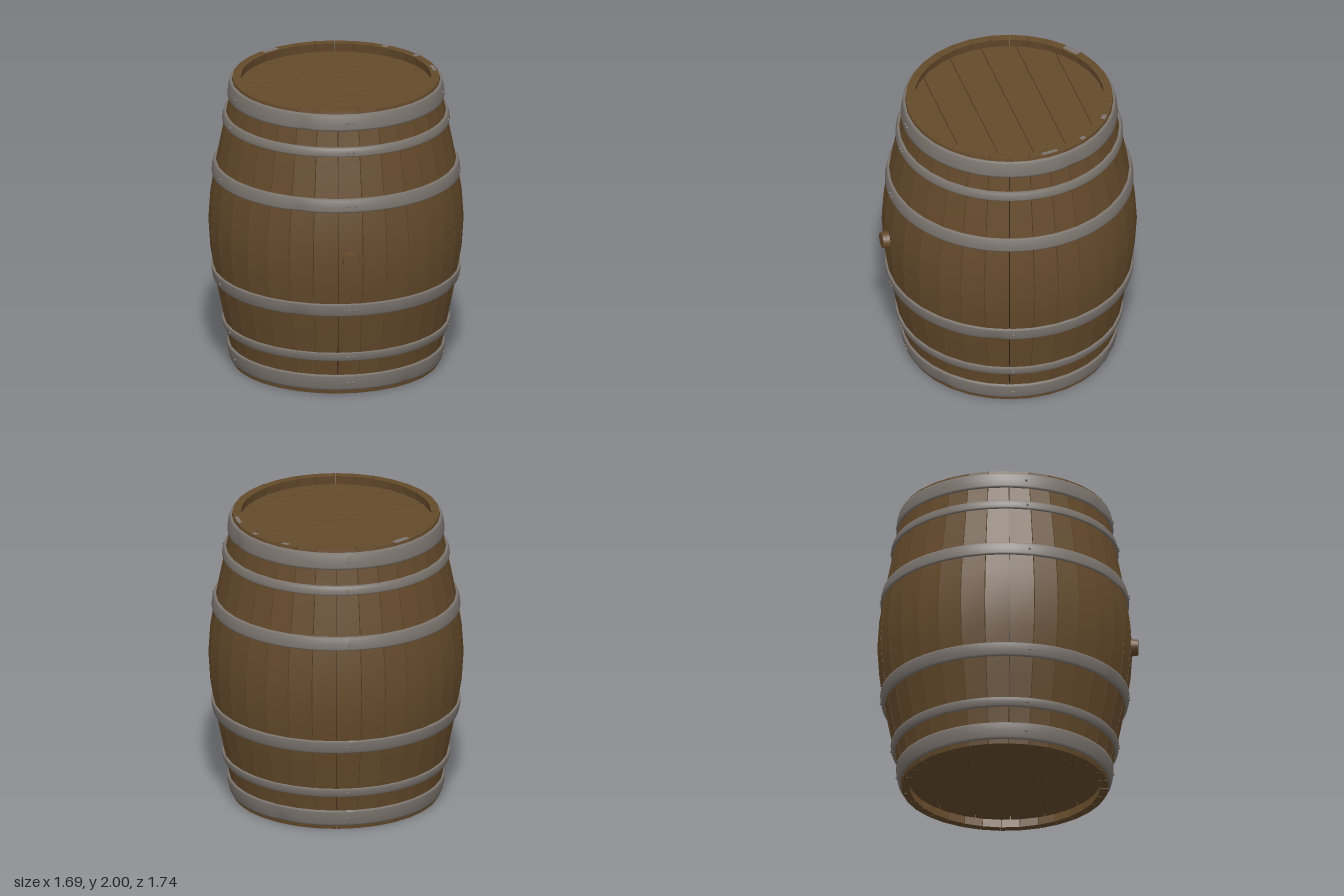
import * as THREE from 'three';
import { toCreasedNormals } from 'three/addons/utils/BufferGeometryUtils.js';

const STAVES = 32;
const STEP = (Math.PI * 2) / STAVES;

// Lower half of the barrel outline as [height, radius]; the top half mirrors it.
const HALF = [[0, 0.69], [0.14, 0.712], [0.3, 0.745], [0.45, 0.775], [0.6, 0.804], [0.8, 0.837], [1, 0.85]];
const OUTLINE = [...HALF, ...HALF.slice(0, -1).reverse().map(([y, r]) => [2 - y, r])];

function radiusAt(y) {
  const h = y > 1 ? 2 - y : y;
  for (let i = 1; i < HALF.length; i++) {
    const [y0, r0] = HALF[i - 1], [y1, r1] = HALF[i];
    if (h <= y1) return r0 + ((r1 - r0) * (h - y0)) / (y1 - y0);
  }
  return 0.85;
}

// One curved plank, centred on +z, with four corners per cross-section.
function staveGeometry() {
  const pos = [], index = [], half = STEP / 2 - 0.003;
  for (const [y, r] of OUTLINE) {
    for (const [rad, a] of [[r, -half], [r, half], [r - 0.055, half], [r - 0.055, -half]]) {
      pos.push(rad * Math.sin(a), y, rad * Math.cos(a));
    }
  }
  const last = (OUTLINE.length - 1) * 4;
  for (let j = 0; j < last; j += 4) {
    for (let k = 0; k < 4; k++) {
      const a = j + k, b = j + ((k + 1) % 4);
      index.push(a, b, b + 4, a, b + 4, a + 4);
    }
  }
  index.push(last, last + 1, last + 2, last, last + 2, last + 3, 0, 2, 1, 0, 3, 2);
  const g = new THREE.BufferGeometry();
  g.setAttribute('position', new THREE.Float32BufferAttribute(pos, 3));
  g.setIndex(index);
  return toCreasedNormals(g, 0.4);
}

// Rounded metal band following the slope of the staves, with dented lower edges.
function hoopGeometry(y0, y1, dents) {
  const profile = [[0, -0.01], [0, 0.011], [0.12, 0.015], [0.5, 0.018], [0.88, 0.015], [1, 0.011], [1, -0.01]]
    .map(([t, out]) => {
      const y = y0 + (y1 - y0) * t;
      return new THREE.Vector2(radiusAt(y) + out, y);
    });
  const g = new THREE.LatheGeometry(profile, 96, Math.PI);
  if (!dents.length) return g;
  const p = g.attributes.position;
  for (let i = 0; i < p.count; i++) {
    const x = p.getX(i), y = p.getY(i), z = p.getZ(i);
    const a = Math.atan2(x, z), low = 1 - (y - y0) / (y1 - y0);
    let push = 0;
    for (const d of dents) push += 0.011 * low * Math.exp(-(((a - d) / 0.07) ** 2));
    const s = 1 - push / Math.hypot(x, z);
    p.setXYZ(i, x * s, y, z * s);
  }
  g.computeVertexNormals();
  return g;
}

// Head board: a strip of a disc between two z lines.
function boardGeometry(z0, z1, radius) {
  const shape = new THREE.Shape(), n = 10;
  const lo = Math.max(z0, -radius + 0.002), hi = Math.min(z1, radius - 0.002);
  for (let side = 1; side >= -1; side -= 2) {
    for (let i = 0; i <= n; i++) {
      const t = side > 0 ? i / n : 1 - i / n;
      const z = lo + (hi - lo) * t, x = side * Math.sqrt(radius * radius - z * z);
      if (side > 0 && i === 0) shape.moveTo(x, -z);
      else shape.lineTo(x, -z);
    }
  }
  const g = new THREE.ExtrudeGeometry(shape, { depth: 0.04, bevelEnabled: false });
  g.rotateX(-Math.PI / 2);
  return g;
}

export function createModel() {
  const wood = new THREE.MeshStandardMaterial({ color: 0x644a2b });
  wood.name = 'oakWood';
  const metal = new THREE.MeshStandardMaterial({ color: 0x7b746e });
  metal.name = 'hoopMetal';
  const dark = new THREE.MeshStandardMaterial({ color: 0x2a1e12 });
  dark.name = 'seamShadowWood';

  const model = new THREE.Group();
  model.name = 'barrel';
  const body = new THREE.Group();
  body.name = 'barrelBody';
  body.position.z = -0.02;
  model.add(body);

  const add = (geometry, material, name) => {
    const mesh = new THREE.Mesh(geometry, material);
    mesh.name = name;
    body.add(mesh);
    return mesh;
  };

  // Staves
  const stave = staveGeometry();
  for (let i = 0; i < STAVES; i++) add(stave, wood, 'stave').rotation.y = i * STEP;

  // Dark core seen through the seams
  const core = [[0, 0.09]];
  for (const y of [0.09, 0.3, 0.6, 0.8, 1, 1.2, 1.4, 1.7, 1.91]) core.push([radiusAt(y) - 0.03, y]);
  core.push([0, 1.91]);
  add(new THREE.LatheGeometry(core.map(([r, y]) => new THREE.Vector2(r, y)), 64), dark, 'core');

  // Recessed heads made of boards
  const seams = [-0.7, -0.46, -0.23, 0, 0.23, 0.46, 0.7];
  for (let i = 0; i < seams.length - 1; i++) {
    const board = boardGeometry(seams[i] + 0.003, seams[i + 1] - 0.003, 0.655);
    add(board, wood, 'topBoard').position.y = 1.9;
    add(board, wood, 'bottomBoard').position.y = 0.06;
  }

  // Hoops with rivets
  const hoops = [
    [0.03, 0.14, [0.6, 2.5]], [0.25, 0.31, []], [0.59, 0.68, [-0.43, 1.15]],
    [1.33, 1.42, [-0.43]], [1.7, 1.76, []], [1.87, 1.98, [-0.43, 1.9]],
  ];
  const rivet = new THREE.SphereGeometry(0.009, 10, 8);
  for (const [y0, y1, dents] of hoops) {
    add(hoopGeometry(y0, y1, dents), metal, 'hoop');
    const y = (y0 + y1) / 2, r = radiusAt(y) + 0.018;
    for (const a of [-0.01, 0.04, 1.31, -1.31, Math.PI]) {
      add(rivet, metal, 'rivet').position.set(r * Math.sin(a), y, r * Math.cos(a));
    }
  }

  // Worn rim spots where metal shows: [angle, width, depth]
  for (const [a, w, d] of [[-2.54, 0.12, 0.04], [2.51, 0.05, 0.03], [2.1, 0.04, 0.03], [1.69, 0.11, 0.025]]) {
    const spot = add(new THREE.BoxGeometry(w, 0.004, d), metal, 'rimWear');
    spot.position.set(0.667 * Math.sin(a), 1.999, 0.667 * Math.cos(a));
    spot.rotation.y = a;
  }

  // Bung
  const bung = add(new THREE.CylinderGeometry(0.053, 0.06, 0.06, 24), wood, 'bung');
  bung.rotation.x = Math.PI / 2;
  bung.position.set(0, 1, 0.86);

  return model;
}
